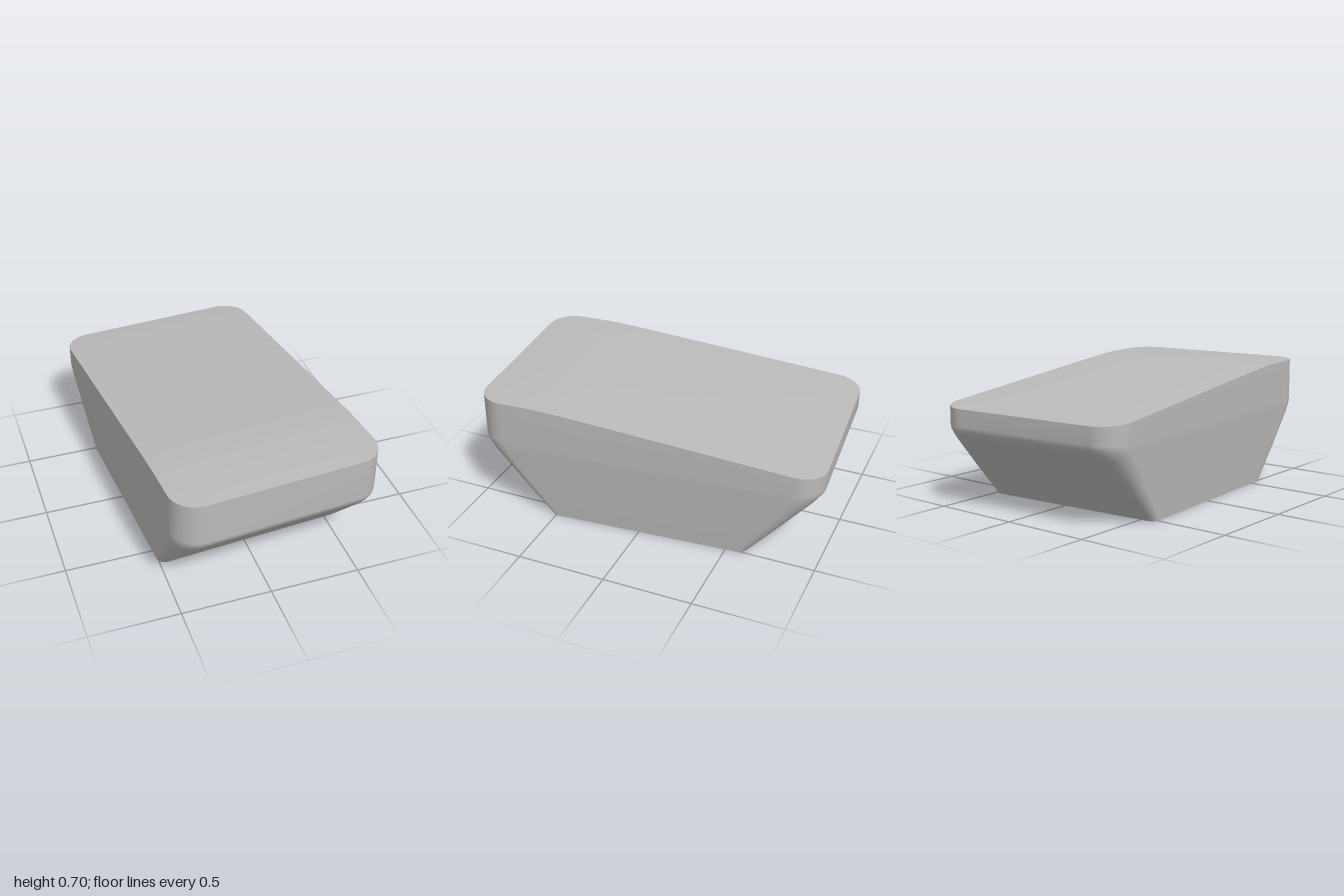
import * as THREE from 'three';

const HX = 0.58, HZ = 0.97, R = 0.15, ARC = 8;
const SIDE = [-0.6, -0.2, 0.2, 0.5, 0.6, 0.7, 0.78, 0.88];

// Right half of a rounded rectangle, back to front, as [x, z] pairs
function halfOutline(hx, hz, r) {
  const pts = [];
  const arc = (cz, from) => {
    for (let i = 0; i <= ARC; i++) {
      const a = from + (i / ARC) * Math.PI / 2;
      pts.push([hx - r + r * Math.cos(a), cz + r * Math.sin(a)]);
    }
  };
  arc(-(hz - r), -Math.PI / 2);
  for (const f of SIDE) pts.push([hx, f * (hz - r)]);
  arc(hz - r, 0);
  return pts;
}

// Height of the top rim: level at the front, falling gently to the back
function rimHeight(z) {
  const t = 0.6 - z;
  return 0.698 - 0.0935 * (t + Math.sqrt(t * t + 0.01)) / 2;
}

function makeGeometry(positions, indices) {
  const g = new THREE.BufferGeometry();
  g.setAttribute('position', new THREE.Float32BufferAttribute(positions, 3));
  g.setIndex(indices);
  g.computeVertexNormals();
  return g;
}

// Wall joining stacked closed outlines
function wallGeometry(levels) {
  const pos = [], idx = [];
  let n = 0;
  for (const { hx, hz, r, y } of levels) {
    const half = halfOutline(hx, hz, r);
    const loop = half.concat(half.map(([x, z]) => [-x, z]).reverse());
    n = loop.length;
    for (const [x, z] of loop) pos.push(x, y(z), z);
  }
  for (let l = 0; l < levels.length - 1; l++) {
    for (let i = 0; i < n; i++) {
      const a = l * n + i, b = l * n + (i + 1) % n;
      idx.push(a, a + n, b, b, a + n, b + n);
    }
  }
  return makeGeometry(pos, idx);
}

// Cap made of rows running across the outline
function capGeometry(hx, hz, r, height, up) {
  const half = halfOutline(hx, hz, r), cols = 10, pos = [], idx = [];
  for (const [x, z] of half) {
    for (let k = 0; k <= cols; k++) {
      const s = (k / cols) * 2 - 1;
      pos.push(x * s, height(s, z), z);
    }
  }
  for (let j = 0; j < half.length - 1; j++) {
    for (let k = 0; k < cols; k++) {
      const a = j * (cols + 1) + k, b = a + cols + 1;
      if (up) idx.push(a, b, a + 1, a + 1, b, b + 1);
      else idx.push(a, a + 1, b, a + 1, b + 1, b);
    }
  }
  return makeGeometry(pos, idx);
}

export function createModel() {
  const grey = new THREE.MeshStandardMaterial({ color: 0xbababa });
  grey.name = 'plain grey';

  const group = new THREE.Group();
  group.name = 'roundedBlock';
  const add = (name, geometry) => {
    const mesh = new THREE.Mesh(geometry, grey);
    mesh.name = name;
    group.add(mesh);
  };

  // Sloping underside, soft bend, then upright rim
  const base = { hx: 0.547, hz: 0.575, r: 0.05 };
  const level = (hx, hz, r, y) => ({ hx, hz, r, y: () => y });
  add('sideWall', wallGeometry([
    level(base.hx, base.hz, base.r, 0),
    level(0.563, 0.76, 0.09, 0.2),
    level(0.575, 0.92, 0.13, 0.375),
    level(0.577, 0.945, 0.14, 0.405),
    level(0.579, 0.963, 0.147, 0.43),
    level(HX, HZ, R, 0.455),
    { hx: HX, hz: HZ, r: R, y: rimHeight },
  ]));

  // Slightly crowned lid surface and flat foot
  const crown = (s, z) => rimHeight(z) + 0.008 * (1 - s ** 4) * (1 - (z / HZ) ** 8);
  add('topSurface', capGeometry(HX, HZ, R, crown, true));
  add('bottomSurface', capGeometry(base.hx, base.hz, base.r, () => 0, false));

  // The block stands turned a little on its base
  group.rotation.y = 0.073;
  const model = new THREE.Group();
  model.name = 'block';
  model.add(group);
  return model;
}
